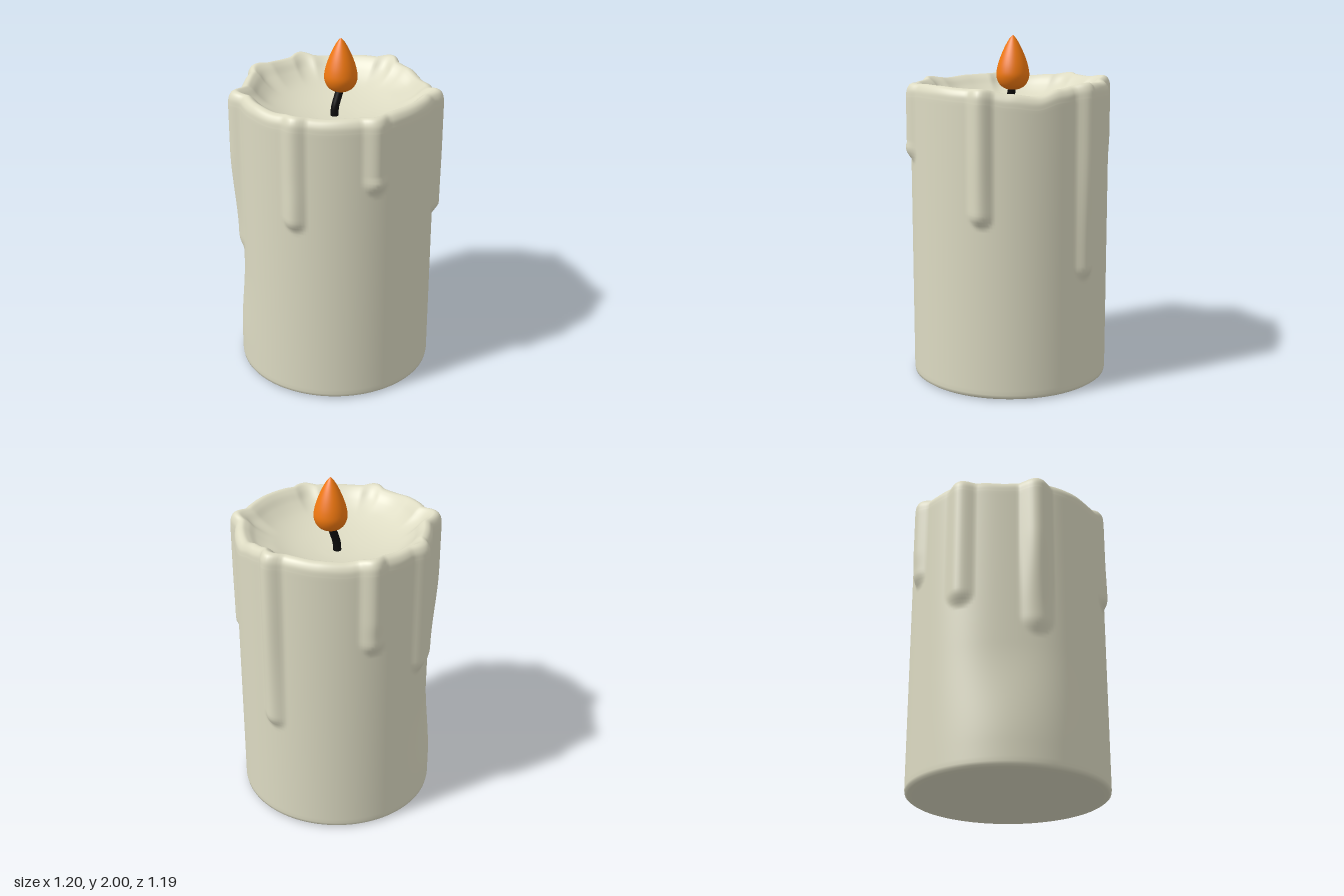
import * as THREE from 'three';

const BASE_R = 0.573, SEG = 240;

// Wax runs: [x, z, bottom y, half width, height at top, height at bottom]
const DRIPS = [
  [-0.60, 0.05, 0.76, 0.10, 0.058, 0.026],
  [-0.29, 0.51, 1.07, 0.072, 0.03, 0.034],
  [0.16, 0.57, 1.29, 0.08, 0.034, 0.04],
  [0.59, 0.17, 0.98, 0.075, 0.043, 0.04],
  [0.42, -0.45, 0.65, 0.08, 0.046, 0.034],
  [-0.15, -0.57, 1.18, 0.08, 0.04, 0.034],
  [-0.46, -0.39, 0.94, 0.09, 0.036, 0.036],
].map(([x, z, end, w, top, bottom]) => ({ angle: Math.atan2(z, x), end, w, top, bottom }));

// Rim height offsets every 15 degrees, from +x towards +z
const RIM = [-0.025, -0.005, 0, 0.005, 0.005, -0.005, -0.005, -0.008, 0, -0.01, 0, 0.005,
  0, -0.005, 0.005, 0.015, 0.008, 0.015, 0, 0.005, 0.012, 0.015, -0.005, -0.04];

const smooth = THREE.MathUtils.smoothstep;
const angleGap = (a, b) => Math.atan2(Math.sin(a - b), Math.cos(a - b));

function rimOffset(a) {
  const f = (a / (2 * Math.PI)) * RIM.length, i = Math.floor(f);
  return THREE.MathUtils.lerp(RIM[i % RIM.length], RIM[(i + 1) % RIM.length], smooth(f - i, 0, 1));
}

// How far the wax stands out from (or sinks into) the plain cylinder
function wallOffset(a, y) {
  let out = 0;
  for (const d of DRIPS) {
    const across = angleGap(a, d.angle) * BASE_R;
    const below = Math.max(0, d.end + d.w - y);
    const q = (across * across + below * below) / (d.w * d.w);
    if (q < 1) {
      const t = smooth(y, d.end + 0.1, 1.4);
      out += THREE.MathUtils.lerp(d.bottom, d.top, t) * Math.pow(1 - q, 1.5);
    }
  }
  // shallow hollow on one side of the wall
  const dent = Math.exp(-Math.pow(angleGap(a, 3.3) / 0.45, 2)) * smooth(y, 0.15, 0.7);
  return out - 0.034 * dent;
}

// Cross-section rings: radius, height, share of wall offset, share of rim offset
function sectionRings() {
  const rings = [[0, 0.005, 0, 0], [0.3, 0.005, 0, 0], [0.53, 0.005, 0, 0], [0.556, 0.008, 0, 0],
    [0.57, 0.018, 0, 0], [BASE_R, 0.035, 0, 0]];
  const rows = 80;
  for (let i = 0; i <= rows; i++) {
    const y = 0.06 + (1.6 * i) / rows;
    rings.push([BASE_R, y, 1, smooth(y, 1.4, 1.7)]);
  }
  const bowl = new THREE.CatmullRomCurve3([
    [BASE_R, 1.66], [0.568, 1.70], [0.55, 1.727], [0.525, 1.735], [0.495, 1.718], [0.45, 1.675],
    [0.38, 1.628], [0.27, 1.585], [0.13, 1.558], [0, 1.55],
  ].map(([r, y]) => new THREE.Vector3(r, y, 0)));
  bowl.getPoints(54).slice(1).forEach((p) => {
    const share = smooth(p.x, 0.34, 0.54);
    rings.push([Math.max(0, p.x), p.y, share, share]);
  });
  return rings;
}

function waxGeometry() {
  const rings = sectionRings(), pos = [], index = [];
  rings.forEach(([r, y, wall, rim], j) => {
    for (let i = 0; i < SEG; i++) {
      const a = (i / SEG) * 2 * Math.PI;
      const off = wallOffset(a, y);
      const radius = r + off * wall;
      const lift = rim * rimOffset(a) + (y > 1.66 ? wall * Math.max(0, off) * 0.2 * smooth(y, 1.66, 1.73) : 0);
      pos.push(Math.cos(a) * radius + 0.004, y + lift, Math.sin(a) * radius);
      if (j > 0) {
        const k = (i + 1) % SEG, lo = (j - 1) * SEG, hi = j * SEG;
        if (rings[j][0] > 0) index.push(lo + i, hi + i, hi + k);
        if (rings[j - 1][0] > 0) index.push(lo + i, hi + k, lo + k);
      }
    }
  });
  const g = new THREE.BufferGeometry();
  g.setAttribute('position', new THREE.Float32BufferAttribute(pos, 3));
  g.setIndex(index);
  g.computeVertexNormals();
  return g;
}

function part(name, geometry, color) {
  const mesh = new THREE.Mesh(geometry, new THREE.MeshStandardMaterial({ color }));
  mesh.name = name;
  return mesh;
}

export function createModel() {
  const group = new THREE.Group();
  group.name = 'candle';

  // Wax body with runs, wavy rim and melted bowl
  group.add(part('waxBody', waxGeometry(), 0xdcdac2));

  // Bent wick
  const wickPath = new THREE.CatmullRomCurve3([
    new THREE.Vector3(0, 1.53, 0), new THREE.Vector3(0.005, 1.6, 0),
    new THREE.Vector3(0.022, 1.66, -0.008), new THREE.Vector3(0.045, 1.73, -0.018),
  ]);
  group.add(part('wick', new THREE.TubeGeometry(wickPath, 16, 0.023, 12), 0x0c0c0c));

  // Teardrop flame
  const outline = new THREE.SplineCurve([
    [0, 0], [0.04, 0.006], [0.075, 0.03], [0.094, 0.075], [0.09, 0.125],
    [0.072, 0.185], [0.046, 0.245], [0.02, 0.29], [0, 0.312],
  ].map(([x, y]) => new THREE.Vector2(x, y)));
  const points = outline.getPoints(40).map((p) => new THREE.Vector2(Math.max(0, p.x), p.y));
  const flame = part('flame', new THREE.LatheGeometry(points, 40), 0xf07810);
  flame.position.set(0.04, 1.688, -0.018);
  group.add(flame);

  return group;
}
